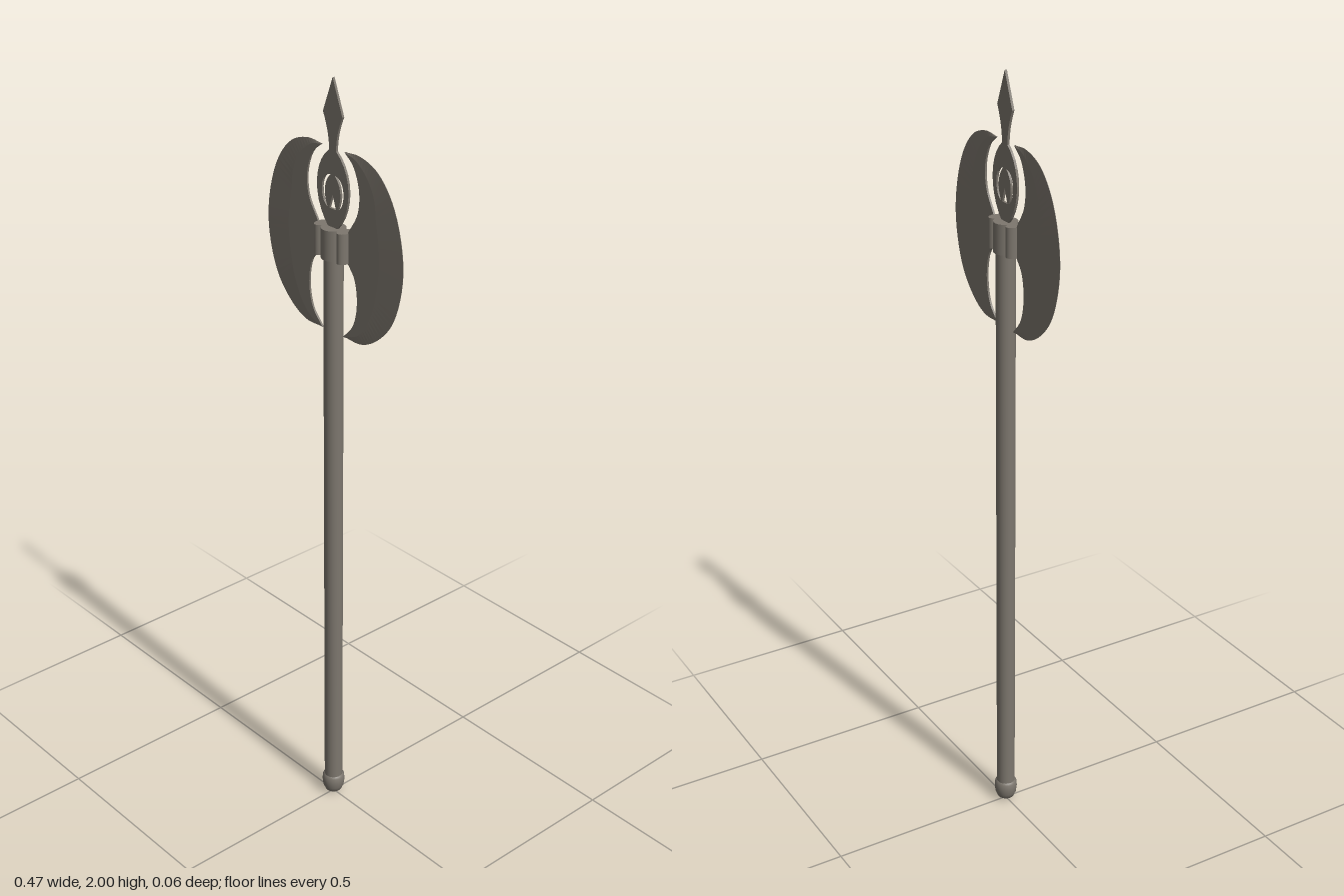
import * as THREE from 'three';
import { ParametricGeometry } from 'three/addons/geometries/ParametricGeometry.js';

const spline = pts => new THREE.CatmullRomCurve3(pts.map(([x, y]) => new THREE.Vector3(x, y, 0)));

// Crescent blade lofted between inner and outer edges, thinning to the cutting edge
function bladeGeometry() {
  const inner = spline([[0.04, 1.836], [0.07, 1.81], [0.09, 1.755], [0.085, 1.70], [0.05, 1.64], [0.042, 1.607],
    [0.05, 1.575], [0.075, 1.54], [0.085, 1.48], [0.072, 1.42], [0.037, 1.379]]);
  const outer = spline([[0.04, 1.836], [0.09, 1.838], [0.15, 1.815], [0.205, 1.745], [0.237, 1.605],
    [0.208, 1.475], [0.155, 1.41], [0.10, 1.38], [0.037, 1.379]]);
  // closed section: [position from inner to outer edge, z]
  const section = [[0, -0.0025], [0, 0.0025], [0.6, 0.0025], [1, 0.0005], [1, -0.0005], [0.6, -0.0025], [0, -0.0025]];
  const a = new THREE.Vector3(), b = new THREE.Vector3();
  const geo = new ParametricGeometry((u, v, target) => {
    const [t, z] = section[Math.min(6, Math.round(u * 6))];
    const w = Math.min(1, Math.max(0, v));
    inner.getPoint(w, a);
    outer.getPoint(w, b);
    target.lerpVectors(a, b, t).setZ(z);
  }, 6, 48).toNonIndexed();
  geo.computeVertexNormals();
  return geo;
}

// Flat finial: diamond point, neck and pierced oval
function finialGeometry() {
  const s = new THREE.Shape();
  s.moveTo(0, 2);
  s.lineTo(-0.033, 1.915);
  s.quadraticCurveTo(-0.012, 1.87, -0.012, 1.83);
  s.bezierCurveTo(-0.066, 1.79, -0.072, 1.70, -0.012, 1.64);
  s.lineTo(0.012, 1.64);
  s.bezierCurveTo(0.072, 1.70, 0.066, 1.79, 0.012, 1.83);
  s.quadraticCurveTo(0.012, 1.87, 0.033, 1.915);
  s.lineTo(0, 2);
  for (const m of [-1, 1]) {
    const h = new THREE.Path();
    h.moveTo(m * 0.007, 1.772);
    h.bezierCurveTo(m * 0.047, 1.772, m * 0.046, 1.70, m * 0.016, 1.69);
    h.bezierCurveTo(m * 0.032, 1.715, m * 0.032, 1.75, m * 0.007, 1.772);
    s.holes.push(h);
  }
  const notch = new THREE.Path();
  notch.moveTo(0, 1.725);
  notch.lineTo(0.012, 1.69);
  notch.lineTo(-0.012, 1.69);
  s.holes.push(notch);
  return new THREE.ExtrudeGeometry(s, { depth: 0.006, bevelEnabled: false, curveSegments: 10 }).translate(0, 0, -0.003);
}

export function createModel() {
  const group = new THREE.Group();
  const steel = new THREE.MeshStandardMaterial({ color: 0x7d776e });
  steel.name = 'weathered steel';
  const add = (name, geo) => {
    const mesh = new THREE.Mesh(geo, steel);
    mesh.name = name;
    group.add(mesh);
    return mesh;
  };

  add('shaft', new THREE.CylinderGeometry(0.024, 0.024, 1.56, 24)).position.y = 0.82;

  // Rounded cap at the foot of the shaft
  const cap = [[0, 0], [0.012, 0.002], [0.022, 0.01], [0.028, 0.024], [0.03, 0.04], [0.029, 0.055], [0.024, 0.06]];
  add('pommel', new THREE.LatheGeometry(cap.map(p => new THREE.Vector2(...p)), 24));

  // Collar with an oval lobe clamping each blade
  add('collar', new THREE.CylinderGeometry(0.03, 0.03, 0.075, 28)).position.y = 1.6075;
  for (const m of [-1, 1]) {
    const lobe = add(m > 0 ? 'leftLobe' : 'rightLobe', new THREE.CylinderGeometry(0.0225, 0.0225, 0.075, 20));
    lobe.scale.x = 0.66;
    lobe.position.set(m * 0.04, 1.6075, 0);
  }

  // Twin blades
  const blade = bladeGeometry();
  add('leftBlade', blade);
  add('rightBlade', blade).rotation.y = Math.PI;

  add('finial', finialGeometry());
  steel.side = THREE.DoubleSide; // thin blades
  return group;
}
